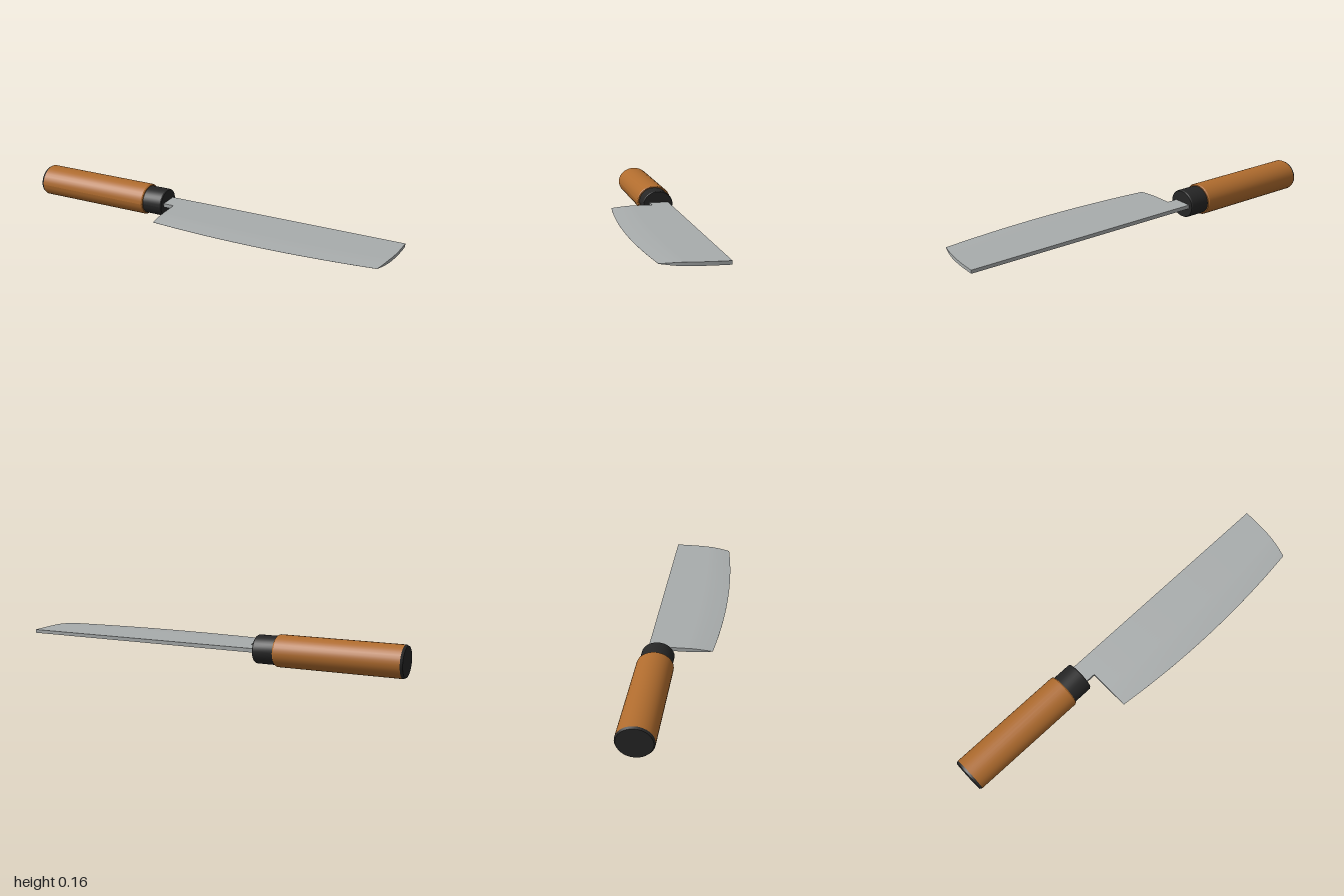
import * as THREE from 'three';

const wood = new THREE.MeshStandardMaterial({ color: 0xb06c2e });
wood.name = 'warm wood';
const black = new THREE.MeshStandardMaterial({ color: 0x262626 });
black.name = 'black horn';
const steel = new THREE.MeshStandardMaterial({ color: 0xa8acac });
steel.name = 'grey steel';

const AXIS_Y = 0.079, AXIS_Z = -0.1;      // centre line of the handle
const SPINE = -0.155, HEEL = -0.205;      // back and heel of the blade

// Oval turned part along x; each ring is [x, radius], unit radius = full handle
function turned(name, rings, material) {
  const positions = [];
  // Separate bands keep the bevel edges crisp and the round sides smooth
  const group = new THREE.Group();
  group.name = name;
  for (let i = 0; i < rings.length - 1; i++) {
    const band = rings.slice(i, i + 2).map(([x, r]) => new THREE.Vector2(r, x));
    const geometry = new THREE.LatheGeometry(band, 32);
    geometry.rotateZ(-Math.PI / 2);
    geometry.scale(1, 0.079, 0.09);
    geometry.computeVertexNormals();
    geometry.translate(0, AXIS_Y, AXIS_Z);
    const mesh = new THREE.Mesh(geometry, material);
    mesh.name = name + 'Band';
    group.add(mesh);
  }
  return group;
}

// Smooth grid patch; its front faces dP/du x dP/dv
function patch(name, point, nu, nv) {
  const positions = [], index = [];
  for (let i = 0; i <= nu; i++) {
    for (let j = 0; j <= nv; j++) positions.push(...point(i / nu, j / nv));
  }
  for (let i = 0; i < nu; i++) {
    for (let j = 0; j < nv; j++) {
      const a = i * (nv + 1) + j, b = a + nv + 1;
      index.push(a, b, b + 1, a, b + 1, a + 1);
    }
  }
  const geometry = new THREE.BufferGeometry();
  geometry.setAttribute('position', new THREE.Float32BufferAttribute(positions, 3));
  geometry.setIndex(index);
  geometry.computeVertexNormals();
  const mesh = new THREE.Mesh(geometry, steel);
  mesh.name = name;
  return mesh;
}

// Blade point: u from heel to tip, v from spine to cutting edge, side -1..1
function bladePoint(u, v, side) {
  const edge = 0.16 + 0.13 * u - 0.14 * u * u;
  const tip = 1 - 0.04 * Math.pow(v, 2.5);
  const s = Math.max(0, (v - 0.64) / 0.36);
  const half = 0.0095 * (1 - Math.pow(s, 1.5)) * (1 - 0.12 * u) + 0.0003;
  return [HEEL + u * (tip - HEEL), AXIS_Y + side * half, SPINE + v * (edge - SPINE)];
}

export function createModel() {
  const model = new THREE.Group();
  model.name = 'kitchenKnife';

  // Handle with dark butt cap and ferrule
  model.add(turned('handle', [[-0.988, 1], [-0.375, 1], [-0.368, 0.95], [-0.368, 0]], wood));
  model.add(turned('buttCap', [[-1, 0], [-1, 0.93], [-0.988, 1]], black));
  model.add(turned('ferrule', [[-0.37, 0.89], [-0.268, 0.89], [-0.262, 0.85], [-0.262, 0]], black));

  // Neck between ferrule and blade
  const neck = new THREE.Mesh(new THREE.BoxGeometry(0.08, 0.0196, 0.1), steel);
  neck.name = 'neck';
  neck.position.set(-0.245, AXIS_Y, SPINE + 0.05);
  model.add(neck);

  // Blade faces, spine, tip and heel
  const blade = new THREE.Group();
  blade.name = 'blade';
  blade.add(
    patch('bladeTop', (a, b) => bladePoint(b, a, 1), 25, 32),
    patch('bladeBottom', (a, b) => bladePoint(a, b, -1), 32, 25),
    patch('spine', (a, b) => bladePoint(a, 0, 1 - 2 * b).map((n) => n), 32, 1),
    patch('tip', (a, b) => bladePoint(1, a, 2 * b - 1), 25, 1),
    patch('heel', (a, b) => bladePoint(0, a, 1 - 2 * b), 25, 1),
    patch('cuttingEdge', (a, b) => bladePoint(a, 1, 2 * b - 1), 32, 1),
  );
  // Thin end strips are seen from either side
  steel.side = THREE.DoubleSide;
  model.add(blade);
  return model;
}
